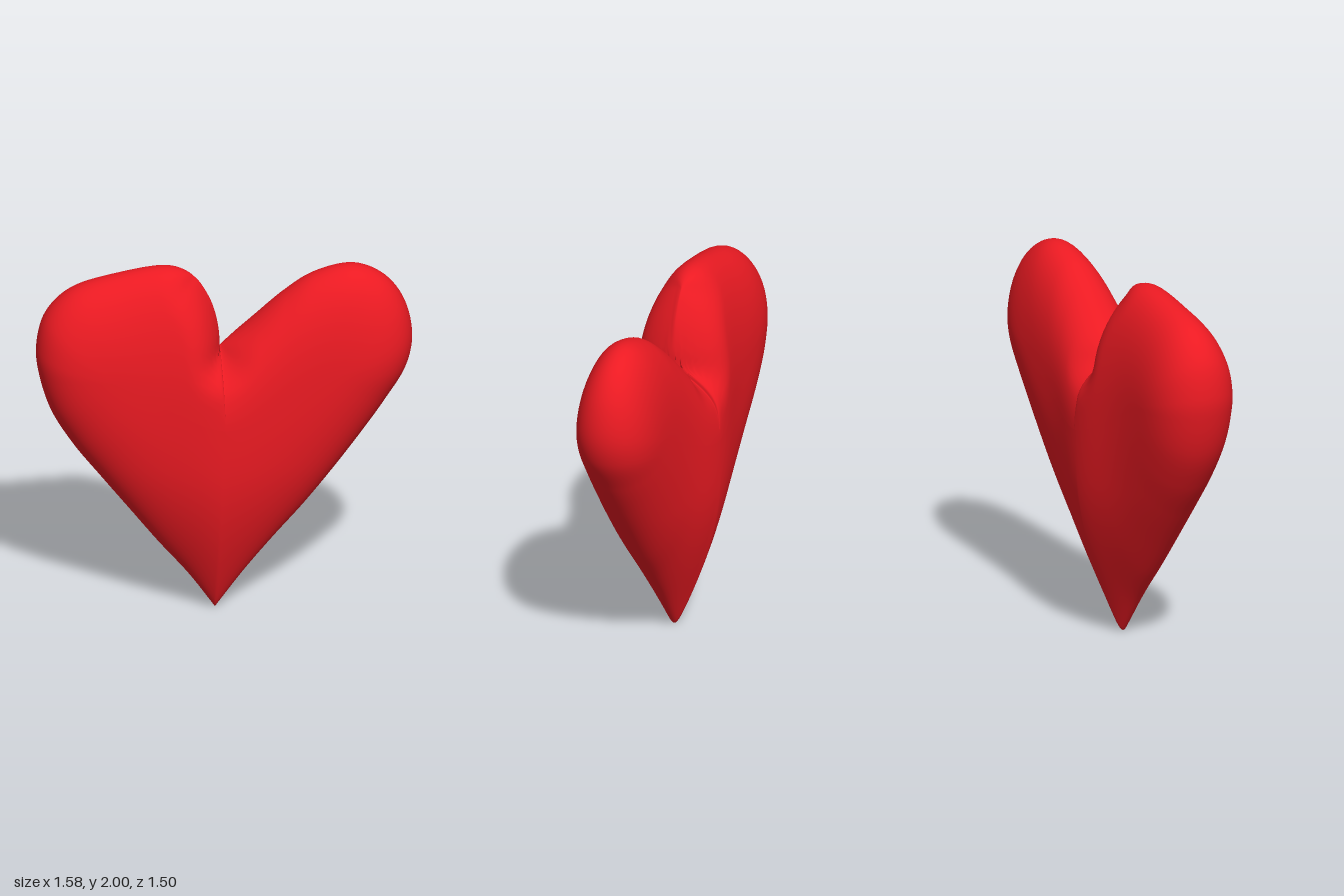
import * as THREE from 'three';

// Outline halves in the heart's own plane (u across, y up), tip and cleft sharp
const RIGHT = [[-0.055, 0], [0.09, 0.2], [0.25, 0.4], [0.42, 0.6], [0.575, 0.8], [0.72, 1.0],
  [0.855, 1.2], [0.97, 1.4], [1.0, 1.57], [0.955, 1.77], [0.85, 1.91], [0.69, 1.98],
  [0.48, 1.935], [0.32, 1.83], [0.12, 1.65], [-0.03, 1.53]];
const LEFT = [[-0.03, 1.53], [-0.036, 1.64], [-0.078, 1.8], [-0.17, 1.945], [-0.29, 2.0],
  [-0.57, 1.967], [-0.835, 1.88], [-0.965, 1.74], [-1.01, 1.55], [-0.995, 1.4], [-0.935, 1.2],
  [-0.82, 1.0], [-0.67, 0.8], [-0.515, 0.6], [-0.36, 0.4], [-0.195, 0.2], [-0.055, 0]];

const HALF = 200, RINGS = 40;
const CLEFT_RADIUS = 0.2;

function sample(points) {
  const curve = new THREE.CatmullRomCurve3(points.map(([u, y]) => new THREE.Vector3(u, y, 0)));
  return curve.getSpacedPoints(HALF).slice(0, HALF);
}

// Half thickness: fullest in the middle, even over the lobes, thin at the tip
function halfDepth(u, y) {
  const taper = 1 - 0.6 * Math.max(0, 1 - y / 0.9) ** 2;
  return (0.235 - 0.012 * u + 0.045 * Math.exp(-((u + 0.05) ** 2) / 0.07)) * taper;
}

// Rounds the surface over toward the wall of the cleft
function cleftRounding(u, y, wall) {
  let d = CLEFT_RADIUS;
  for (const p of wall) d = Math.min(d, Math.hypot(u - p.x, y - p.y));
  return Math.sqrt(1 - (1 - d / CLEFT_RADIUS) ** 2);
}

// Each outline point is joined to a V-shaped core line by a rounded profile, front and back
function heartGeometry() {
  const left = sample(LEFT);
  const outline = [...sample(RIGHT), ...left];
  const wall = left.filter((p) => p.x > -0.17 && p.y > 1.5);
  const count = outline.length;
  const positions = [], index = [];
  for (let i = 0; i <= RINGS; i++) {
    const a = -Math.PI / 2 + (Math.PI * i) / RINGS;
    const s = Math.cos(a);
    for (const p of outline) {
      const coreU = 0.6 * p.x;
      const coreY = 1.07 + 0.58 * Math.sqrt(coreU * coreU + 0.02);
      const u = THREE.MathUtils.lerp(coreU, p.x, s);
      const y = THREE.MathUtils.lerp(coreY, p.y, s);
      const power = 2.2 + 0.8 * Math.abs(p.x);
      const profile = Math.sqrt(Math.max(0, 1 - s ** power));
      positions.push(u, y, Math.sign(a) * halfDepth(u, y) * profile * cleftRounding(u, y, wall));
    }
  }
  for (let i = 0; i < RINGS; i++) {
    for (let j = 0; j < count; j++) {
      const k = (j + 1) % count;
      const p = i * count + j, q = i * count + k;
      index.push(p, q, q + count, p, q + count, p + count);
    }
  }
  const geometry = new THREE.BufferGeometry();
  geometry.setAttribute('position', new THREE.Float32BufferAttribute(positions, 3));
  geometry.setIndex(index);
  geometry.computeVertexNormals();
  return geometry;
}

export function createModel() {
  const group = new THREE.Group();
  group.name = 'heart';
  const body = new THREE.Mesh(heartGeometry(), new THREE.MeshStandardMaterial({ color: 0xeb1a22 }));
  body.name = 'heartBody';
  // Turned so the right-hand lobe comes forward
  body.rotation.y = -Math.atan2(0.68, 0.73);
  group.add(body);
  return group;
}
